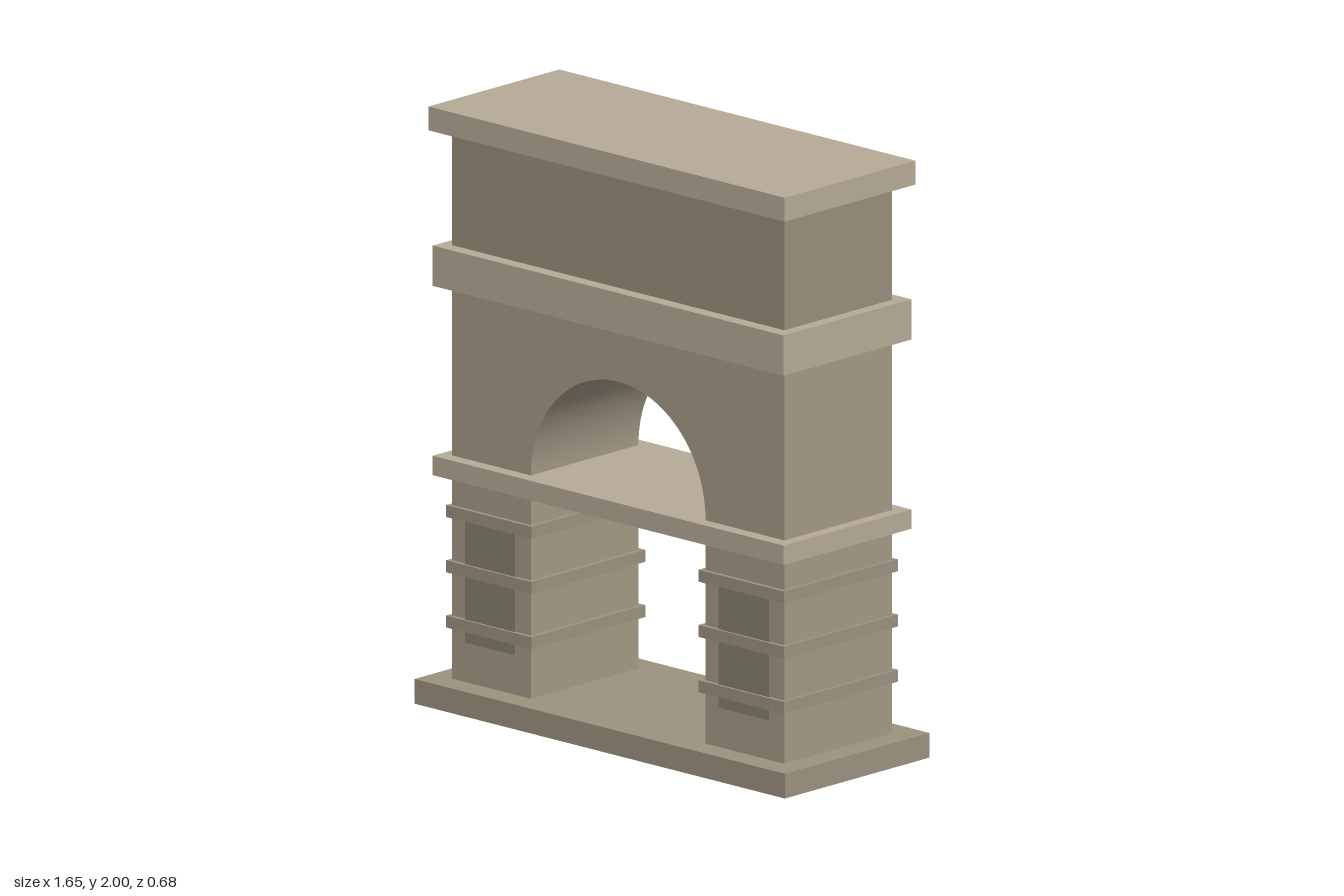
import * as THREE from 'three';

const mat = (color) => new THREE.MeshStandardMaterial({ color });

export function createModel() {
  const model = new THREE.Group();
  model.name = 'triumphalArch';

  const wall = mat(0xa39986), attic = mat(0x988f7c), trim = mat(0xb5aa96);
  const plinth = mat(0x9b917e), panel = mat(0x877f6e);

  // Box centred on x and z, given half sizes and its bottom and top heights
  function block(name, material, hx, hz, y0, y1, x = 0, z = 0) {
    const mesh = new THREE.Mesh(new THREE.BoxGeometry(hx * 2, y1 - y0, hz * 2), material);
    mesh.position.set(x, (y0 + y1) / 2, z);
    mesh.name = name;
    model.add(mesh);
  }

  const W = 0.74, D = 0.252, R = 0.389; // wall half width, half depth, arch radius

  // Full-width courses
  block('base', plinth, 0.824, 0.338, 0, 0.083);
  block('impostSlab', trim, 0.781, 0.299, 0.766, 0.831);
  block('entablature', trim, 0.781, 0.299, 1.4, 1.535);
  block('attic', attic, W, D, 1.535, 1.92);
  block('cornice', trim, 0.793, 0.306, 1.92, 2);

  // Wall with the semicircular vault cut through it
  const y0 = 0.831;
  const shape = new THREE.Shape();
  shape.moveTo(-W, y0);
  shape.lineTo(-R, y0);
  shape.absarc(0, y0, R, Math.PI, 0, true);
  shape.lineTo(W, y0);
  shape.lineTo(W, 1.4);
  shape.lineTo(-W, 1.4);
  const geo = new THREE.ExtrudeGeometry(shape, { depth: D * 2, bevelEnabled: false, curveSegments: 48 });
  geo.translate(0, 0, -D);
  const arch = new THREE.Mesh(geo, wall);
  arch.name = 'archWall';
  model.add(arch);

  // Piers with wrapping bands and a slim panel on each face
  for (const side of [-1, 1]) {
    const label = side > 0 ? 'left' : 'right';
    const x = side * (W + R) / 2;
    block(label + 'Pier', wall, (W - R) / 2, D, 0.083, 0.766, x);
    for (const y of [0.275, 0.46, 0.645]) {
      block(label + 'PierBand', plinth, 0.19, 0.267, y - 0.02, y + 0.02, side * 0.562);
    }
    for (const face of [-1, 1]) {
      block(label + (face > 0 ? 'Front' : 'Back') + 'Panel', panel, 0.112, 0.01, 0.217, 0.63, x, face * (D - 0.004));
    }
  }
  return model;
}
